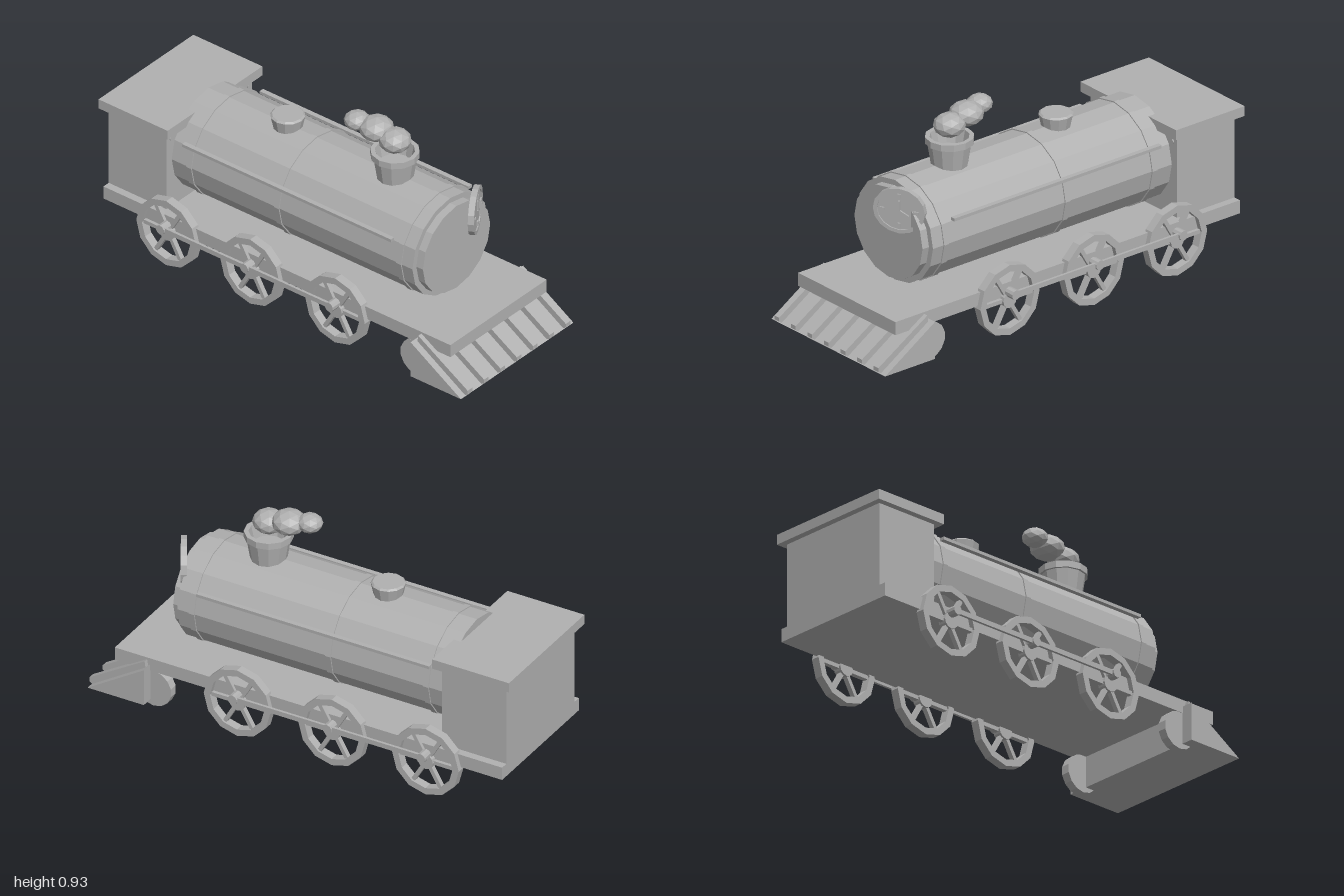
import * as THREE from 'three';

const grey = new THREE.MeshStandardMaterial({ color: 0xb0b0b0 });
grey.name = 'plain grey';

// Faceted normals for the low-poly look
function flat(geo) {
  const g = geo.index ? geo.toNonIndexed() : geo;
  g.computeVertexNormals();
  return g;
}

function add(parent, name, geo, x = 0, y = 0, z = 0) {
  const mesh = new THREE.Mesh(flat(geo), grey);
  mesh.name = name;
  mesh.position.set(x, y, z);
  parent.add(mesh);
  return mesh;
}

// Box given by its limits on each axis
function block(parent, name, x0, x1, y0, y1, z0, z1) {
  return add(parent, name, new THREE.BoxGeometry(x1 - x0, y1 - y0, z1 - z0),
    (x0 + x1) / 2, (y0 + y1) / 2, (z0 + z1) / 2);
}

// Drum lying along x, slightly wider than high
function drum(parent, name, x0, x1, r) {
  const geo = new THREE.CylinderGeometry(r, r, x1 - x0, 16).rotateZ(-Math.PI / 2).scale(1, 1, 1.08);
  return add(parent, name, geo, (x0 + x1) / 2, 0.462, 0);
}

// Disc whose axis is z
const disc = (r, depth, sides) => new THREE.CylinderGeometry(r, r, depth, sides).rotateX(Math.PI / 2);

// Square-section ring whose axis is z
function ring(ro, ri, depth, sides) {
  const h = depth / 2;
  const pts = [[ro, -h], [ro, h], [ri, h], [ri, -h], [ro, -h]].map(p => new THREE.Vector2(...p));
  return new THREE.LatheGeometry(pts, sides).rotateX(Math.PI / 2);
}

function lathe(points, sides) {
  return new THREE.LatheGeometry(points.map(p => new THREE.Vector2(...p)), sides);
}

function makeWheel() {
  const wheel = new THREE.Group();
  wheel.name = 'drivingWheel';
  add(wheel, 'wheelRim', ring(0.16, 0.13, 0.04, 12));
  add(wheel, 'wheelHub', disc(0.036, 0.04, 12));
  for (let i = 0; i < 3; i++) {
    const spoke = add(wheel, 'spokePair', new THREE.BoxGeometry(0.275, 0.018, 0.022));
    spoke.rotation.z = i * Math.PI / 3;
  }
  return wheel;
}

// Dial turned away from the boiler front
function makeDial() {
  const dial = new THREE.Group();
  dial.name = 'frontDial';
  add(dial, 'dialFace', disc(0.095, 0.014, 16));
  add(dial, 'dialRim', ring(0.102, 0.086, 0.026, 16));
  for (let i = 0; i < 4; i++) {
    const a = i * Math.PI / 2;
    const tick = add(dial, 'dialTick', new THREE.BoxGeometry(0.012, 0.02, 0.008),
      0.066 * Math.sin(a), 0.066 * Math.cos(a), 0.01);
    tick.rotation.z = -a;
  }
  for (const [angle, length] of [[0, 0.045], [-2.1, 0.042]]) {
    const hand = add(dial, 'dialHand', new THREE.BoxGeometry(0.008, length, 0.008).translate(0, length / 2, 0), 0, 0, 0.01);
    hand.rotation.z = angle;
  }
  dial.position.set(0.685, 0.605, -0.098);
  dial.rotation.y = Math.PI * 2 / 3;
  dial.scale.x = 1.13;
  return dial;
}

export function createModel() {
  const train = new THREE.Group();
  train.name = 'steamLocomotive';

  // Frame and cab
  block(train, 'chassis', -0.97, 0.89, 0.17, 0.23, -0.315, 0.315);
  block(train, 'cab', -0.97, -0.66, 0.23, 0.605, -0.28, 0.28);
  block(train, 'cabRoof', -1, -0.63, 0.605, 0.65, -0.31, 0.31);

  // Boiler with bands and smokebox front
  drum(train, 'boiler', -0.665, 0.63, 0.228);
  for (const x of [-0.565, -0.095, 0.56]) drum(train, 'boilerBand', x - 0.013, x + 0.013, 0.233);
  drum(train, 'smokeboxFront', 0.6, 0.665, 0.204);

  // Dome, hollow chimney and smoke puffs
  add(train, 'dome', lathe([[0, 0.66], [0.058, 0.66], [0.074, 0.735], [0.066, 0.742], [0, 0.742]], 12), -0.24, 0, 0);
  add(train, 'chimney', lathe([[0, 0.65], [0.074, 0.65], [0.094, 0.777], [0.104, 0.777], [0.104, 0.806],
    [0.084, 0.806], [0.07, 0.74], [0, 0.74]], 12), 0.335, 0, 0);
  const puffs = [[0.335, 0.855, 0, 0.07, 0.052], [0.24, 0.878, 0.005, 0.075, 0.053], [0.152, 0.89, 0.025, 0.056, 0.041]];
  for (const [x, y, z, r, h] of puffs) {
    add(train, 'smokePuff', new THREE.IcosahedronGeometry(1, 1).scale(r, h, r), x, y, z);
  }

  train.add(makeDial());

  // Parts repeated on both sides
  for (const s of [-1, 1]) {
    add(train, 'handrail', new THREE.BoxGeometry(1.12, 0.014, 0.022), -0.03, 0.571, s * 0.254);
    add(train, 'cabFitting', new THREE.CylinderGeometry(0.009, 0.009, 0.008, 10).rotateZ(Math.PI / 2), -0.658, 0.571, s * 0.253);
    for (const x of [-0.615, -0.165, 0.29]) {
      const wheel = makeWheel();
      wheel.position.set(x, 0.16, s * 0.318);
      train.add(wheel);
      add(train, 'crankPin', disc(0.022, 0.048, 10), x, 0.196, s * 0.354);
    }
    add(train, 'connectingRod', new THREE.BoxGeometry(0.93, 0.022, 0.012), -0.163, 0.196, s * 0.364);
    add(train, 'leadingWheel', disc(0.085, 0.04, 14), 0.705, 0.088, s * 0.293);
  }

  // Sloping cowcatcher with ribs
  const wedge = new THREE.Shape();
  wedge.moveTo(0.72, 0.03);
  wedge.lineTo(0.99, 0.03);
  wedge.lineTo(0.72, 0.2);
  add(train, 'cowcatcher', new THREE.ExtrudeGeometry(wedge, { depth: 0.736, bevelEnabled: false }), 0, 0, -0.368);
  const rib = new THREE.Shape();
  rib.moveTo(0.73, 0.19);
  rib.lineTo(0.985, 0.032);
  rib.lineTo(1, 0.042);
  rib.lineTo(1, 0.06);
  rib.lineTo(0.735, 0.222);
  for (let i = -3; i <= 3; i++) {
    add(train, 'cowcatcherRib', new THREE.ExtrudeGeometry(rib, { depth: 0.03, bevelEnabled: false }), 0, 0, i * 0.107 - 0.015);
  }

  return train;
}
